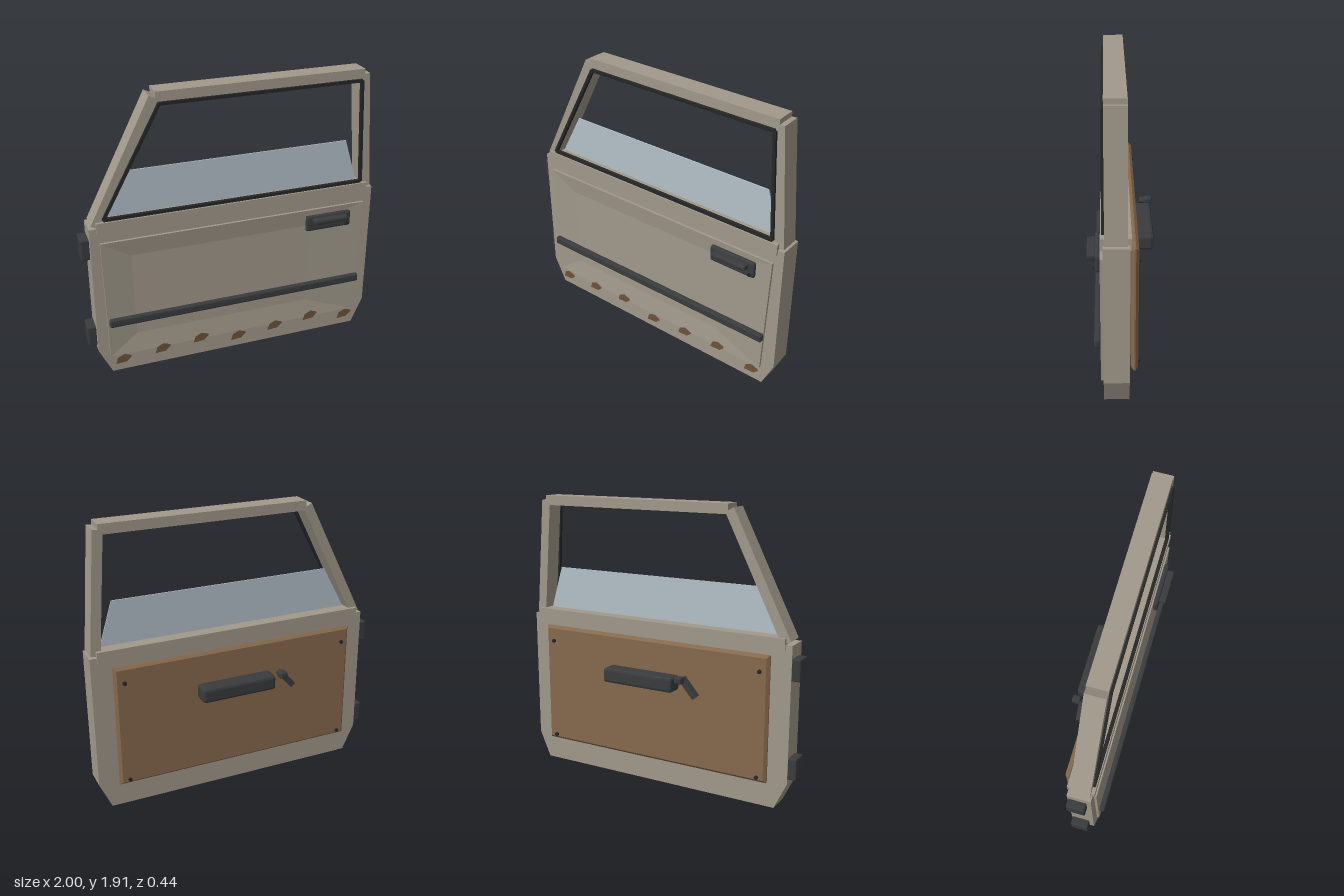
import * as THREE from 'three';
import { RoundedBoxGeometry } from 'three/addons/geometries/RoundedBoxGeometry.js';

const mat = (name, color, side = THREE.FrontSide) => {
  const m = new THREE.MeshStandardMaterial({ color, side });
  m.name = name;
  return m;
};

export function createModel() {
  const door = new THREE.Group();
  door.name = 'vehicleDoor';
  const paint = mat('beigePaint', 0xa0988a);
  const rubber = mat('blackRubber', 0x252627);
  const trim = mat('darkTrim', 0x393b3d);
  const card = mat('brownCard', 0x86694d);
  const glassMat = mat('blueGreyGlass', 0xb4c1c9, THREE.DoubleSide);
  const rust = mat('rust', 0x6e5139, THREE.DoubleSide);

  const add = (name, geo, material, x = 0, y = 0, z = 0) => {
    const m = new THREE.Mesh(geo, material);
    m.name = name;
    m.position.set(x, y, z);
    door.add(m);
    return m;
  };
  // Box given by its limits; an optional chamfer cuts all its edges
  const block = (name, material, [x0, x1], [y0, y1], [z0, z1], chamfer = 0) => {
    const size = [x1 - x0, y1 - y0, z1 - z0];
    const geo = chamfer ? new RoundedBoxGeometry(...size, 1, chamfer) : new THREE.BoxGeometry(...size);
    if (chamfer) geo.computeVertexNormals();
    return add(name, geo, material, (x0 + x1) / 2, (y0 + y1) / 2, (z0 + z1) / 2);
  };
  // Straight bar between two points of the door plane
  const bar = (name, material, [ax, ay], [bx, by], width, [z0, z1]) => {
    const geo = new THREE.BoxGeometry(Math.hypot(bx - ax, by - ay), width, z1 - z0);
    const m = add(name, geo, material, (ax + bx) / 2, (ay + by) / 2, (z0 + z1) / 2);
    m.rotation.z = Math.atan2(by - ay, bx - ax);
    return m;
  };
  const outline = (pts) => new THREE.Shape(pts.map(([x, y]) => new THREE.Vector2(x, y)));
  const plate = (name, material, pts, z0, z1) =>
    add(name, new THREE.ExtrudeGeometry(outline(pts), { depth: z1 - z0, bevelEnabled: false }), material, 0, 0, z0);

  // Door shell with clipped lower corners
  plate('doorShell', paint,
    [[-0.86, 0], [0.92, 0], [1, 0.18], [1, 1.08], [-0.945, 1.08], [-0.945, 0.18]], -0.035, 0.12);

  // Outer skin: a raised rim sloping into a shallow dish
  const rim = [[-0.87, 0.13], [0.905, 0.13], [0.935, 0.98], [-0.885, 0.98]];
  const dish = [[-0.68, 0.27], [0.53, 0.27], [0.54, 0.86], [-0.69, 0.86]];
  const rings = [[rim, 0.115], [rim, 0.137], [dish, 0.122]]
    .map(([pts, z]) => pts.map(([x, y]) => [x, y, z]));
  const tri = [];
  const quad = (a, b, c, d) => tri.push(...a, ...b, ...c, ...a, ...c, ...d);
  for (let r = 0; r < 2; r++) {
    for (let i = 0; i < 4; i++) {
      const j = (i + 1) % 4;
      quad(rings[r][i], rings[r][j], rings[r + 1][j], rings[r + 1][i]);
    }
  }
  quad(...rings[2]);
  const skin = new THREE.BufferGeometry();
  skin.setAttribute('position', new THREE.Float32BufferAttribute(tri, 3));
  skin.computeVertexNormals();
  add('outerSkin', skin, paint);

  // Window frame
  const frameZ = [-0.02, 0.11];
  block('windowSill', paint, [-0.9, 0.955], [1.045, 1.12], [-0.045, 0.132]);
  block('topRail', paint, [-0.49, 0.89], [1.845, 1.91], frameZ);
  bar('frontPillar', paint, [-0.9, 1.085], [-0.5, 1.875], 0.065, frameZ);
  bar('rearPillar', paint, [0.957, 1.087], [0.892, 1.877], 0.065, frameZ);

  // Rubber seal around the opening
  const seal = [[-0.85, 1.133], [0.91, 1.133], [0.87, 1.837], [-0.47, 1.837]];
  seal.forEach((p, i) => bar('windowSeal', rubber, p, seal[(i + 1) % 4], 0.02, [0.103, 0.126]));

  // Half lowered glass
  plate('windowGlass', glassMat, [[-0.85, 1.1], [0.915, 1.1], [0.82, 1.41], [-0.68, 1.41]], 0.04, 0.048);

  // Hinges on the leading edge
  for (const y of [0.21, 0.855]) {
    block('hinge', trim, [-1, -0.94], [y, y + 0.143], [-0.03, 0.09], 0.008);
  }

  // Rubbing strip and outside handle
  block('rubbingStrip', trim, [-0.865, 0.92], [0.375, 0.43], [0.138, 0.175], 0.01);
  block('handlePlate', trim, [0.505, 0.83], [0.835, 0.945], [0.135, 0.167], 0.012);
  block('handleGrip', trim, [0.545, 0.79], [0.898, 0.932], [0.16, 0.215], 0.01);
  const lock = add('handleLock', new THREE.CylinderGeometry(0.012, 0.012, 0.016, 10), rubber, 0.8, 0.856, 0.168);
  lock.rotation.x = Math.PI / 2;

  // Rust chips along the lower edge
  const chip = new THREE.ShapeGeometry(outline(
    [[-0.055, -0.035], [0.02, -0.03], [0.055, 0.005], [0.05, 0.015], [0.005, 0.033], [-0.04, 0.012]]));
  for (let i = 0; i < 7; i++) {
    add('rustChip', chip, rust, -0.785 + i * 0.272, 0.1 + (i % 3) * 0.022, 0.141);
  }

  // Inner trim card with bevelled edges
  const b = 0.018;
  const cardShape = outline([[-0.82 + b, 0.175 + b], [0.87 - b, 0.175 + b], [0.87 - b, 1.012 - b], [-0.82 + b, 1.012 - b]]);
  add('innerCard', new THREE.ExtrudeGeometry(cardShape,
    { depth: 0.009, bevelThickness: b, bevelSize: b, bevelSegments: 1 }), card, 0, 0, -0.09 + b);
  for (const x of [-0.76, 0.805]) {
    for (const y of [0.21, 0.907]) {
      const screw = add('cardScrew', new THREE.CylinderGeometry(0.013, 0.013, 0.016, 10), rubber, x, y, -0.096);
      screw.rotation.x = Math.PI / 2;
    }
  }

  // Armrest and window crank
  block('armrest', trim, [-0.2, 0.32], [0.705, 0.805], [-0.205, -0.088], 0.018);
  bar('crankArm', trim, [-0.25, 0.805], [-0.35, 0.69], 0.04, [-0.168, -0.13]);
  block('crankKnob', trim, [-0.28, -0.225], [0.778, 0.824], [-0.22, -0.162], 0.012);

  return door;
}
